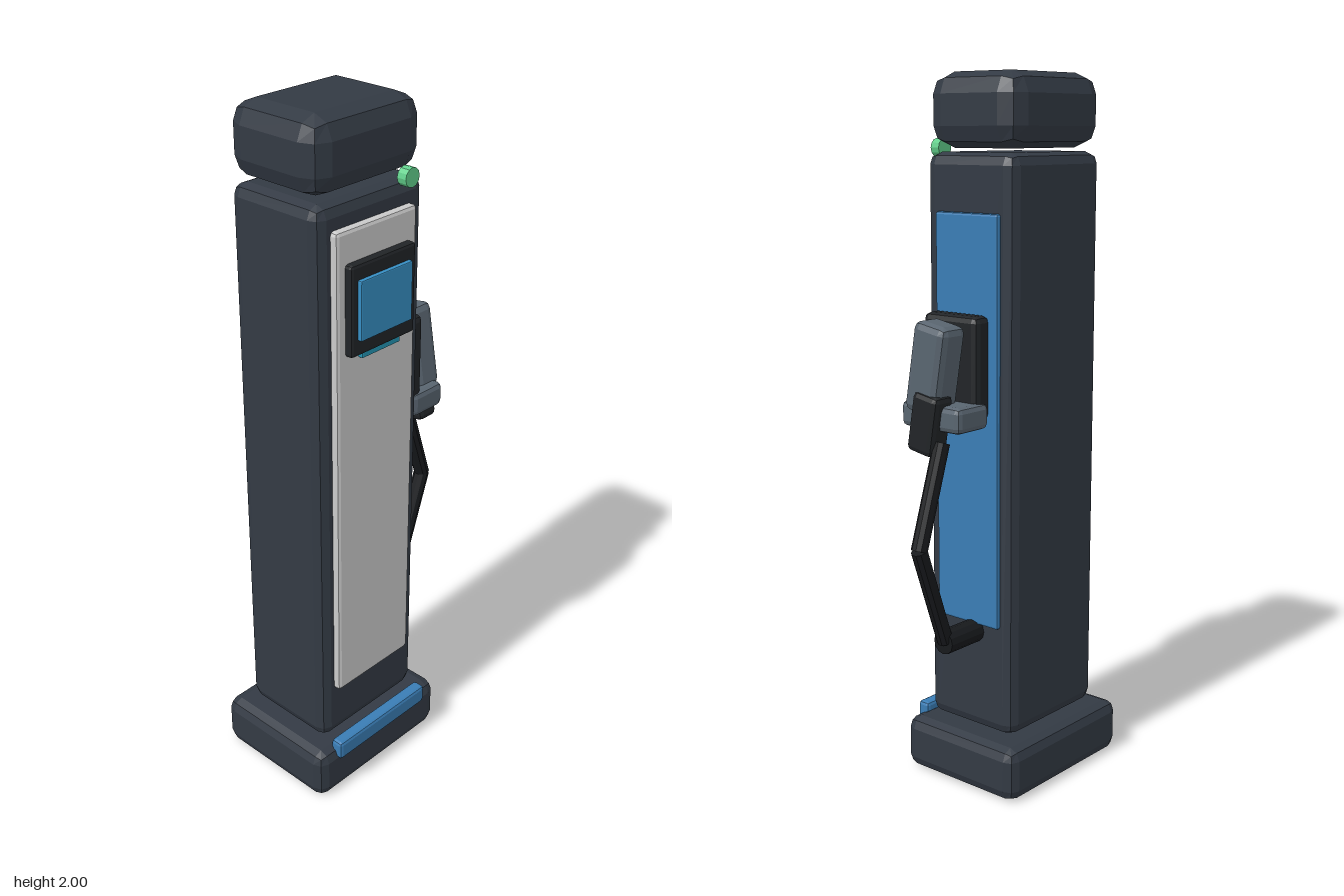
import * as THREE from 'three';
import { RoundedBoxGeometry } from 'three/addons/geometries/RoundedBoxGeometry.js';

const material = (color) => new THREE.MeshStandardMaterial({ color, flatShading: true });

export function createModel() {
  const model = new THREE.Group();
  model.name = 'chargingStation';

  const casing = material(0x333a44);
  const black = material(0x212427);
  const rubber = material(0x17191c);
  const blue = material(0x3a7db5);
  const screenBlue = material(0x378fc4);
  const teal = material(0x2596b4);
  const pale = material(0xcccccc);
  const steel = material(0x596570);
  const green = material(0x62d08c);

  function add(name, geometry, mat) {
    const mesh = new THREE.Mesh(geometry, mat);
    mesh.name = name;
    model.add(mesh);
    return mesh;
  }

  // Bevelled box given by its extents on each axis, tilted about x if asked
  function block(name, [x0, x1], [y0, y1], [z0, z1], bevel, mat, tilt = 0) {
    const mesh = add(name, new RoundedBoxGeometry(x1 - x0, y1 - y0, z1 - z0, 1, bevel), mat);
    mesh.position.set((x0 + x1) / 2, (y0 + y1) / 2, (z0 + z1) / 2);
    mesh.rotation.x = tilt;
    return mesh;
  }

  // Straight cylinder between two points
  function rod(name, from, to, radius, sides, mat) {
    const a = new THREE.Vector3(...from);
    const b = new THREE.Vector3(...to);
    const dir = b.clone().sub(a);
    const mesh = add(name, new THREE.CylinderGeometry(radius, radius, dir.length(), sides), mat);
    mesh.position.copy(a).add(b).multiplyScalar(0.5);
    mesh.quaternion.setFromUnitVectors(new THREE.Vector3(0, 1, 0), dir.normalize());
    return mesh;
  }

  // Pedestal, column and cap
  block('base', [-0.35, 0.155], [0, 0.155], [-0.21, 0.197], 0.033, casing);
  block('column', [-0.29, 0.097], [0.165, 1.79], [-0.158, 0.15], 0.033, casing);
  block('cap', [-0.293, 0.098], [1.8, 2], [-0.163, 0.15], 0.058, casing);
  block('baseStrip', [-0.28, 0.088], [0.12, 0.178], [0.17, 0.209], 0.01, blue);

  // Front panel with display
  block('frontPanel', [-0.245, 0.048], [0.335, 1.725], [0.13, 0.17], 0.011, pale);
  block('displayBezel', [-0.215, 0.022], [1.39, 1.638], [0.15, 0.192], 0.009, black);
  block('displayScreen', [-0.192, -0.003], [1.435, 1.597], [0.18, 0.204], 0.003, screenBlue);
  block('cardSlot', [-0.167, -0.025], [1.374, 1.392], [0.16, 0.184], 0.003, teal);
  rod('statusLight', [0.023, 1.8, 0.145], [0.023, 1.8, 0.174], 0.026, 12, green);

  // Side panel and holster
  block('sidePanel', [0.08, 0.11], [0.485, 1.633], [-0.117, 0.104], 0.007, blue);
  block('holster', [0.1, 0.162], [1.08, 1.365], [-0.088, 0.105], 0.018, black);
  block('cradle', [0.12, 0.244], [1.06, 1.132], [-0.098, 0.113], 0.016, steel);

  // Leaning connector
  block('connector', [0.168, 0.262], [1.1, 1.352], [-0.045, 0.07], 0.022, steel, -0.17);
  block('connectorGrip', [0.198, 0.27], [0.995, 1.165], [-0.03, 0.06], 0.016, black, -0.17);

  // Cable in straight lengths, ending at the inlet on the column
  rod('upperCable', [0.23, 1.03, -0.024], [0.322, 0.748, -0.024], 0.023, 10, rubber);
  rod('lowerCable', [0.322, 0.748, -0.024], [0.222, 0.465, -0.024], 0.023, 10, rubber);
  rod('cableInlet', [0.09, 0.462, -0.024], [0.23, 0.462, -0.024], 0.034, 12, rubber);

  return model;
}
